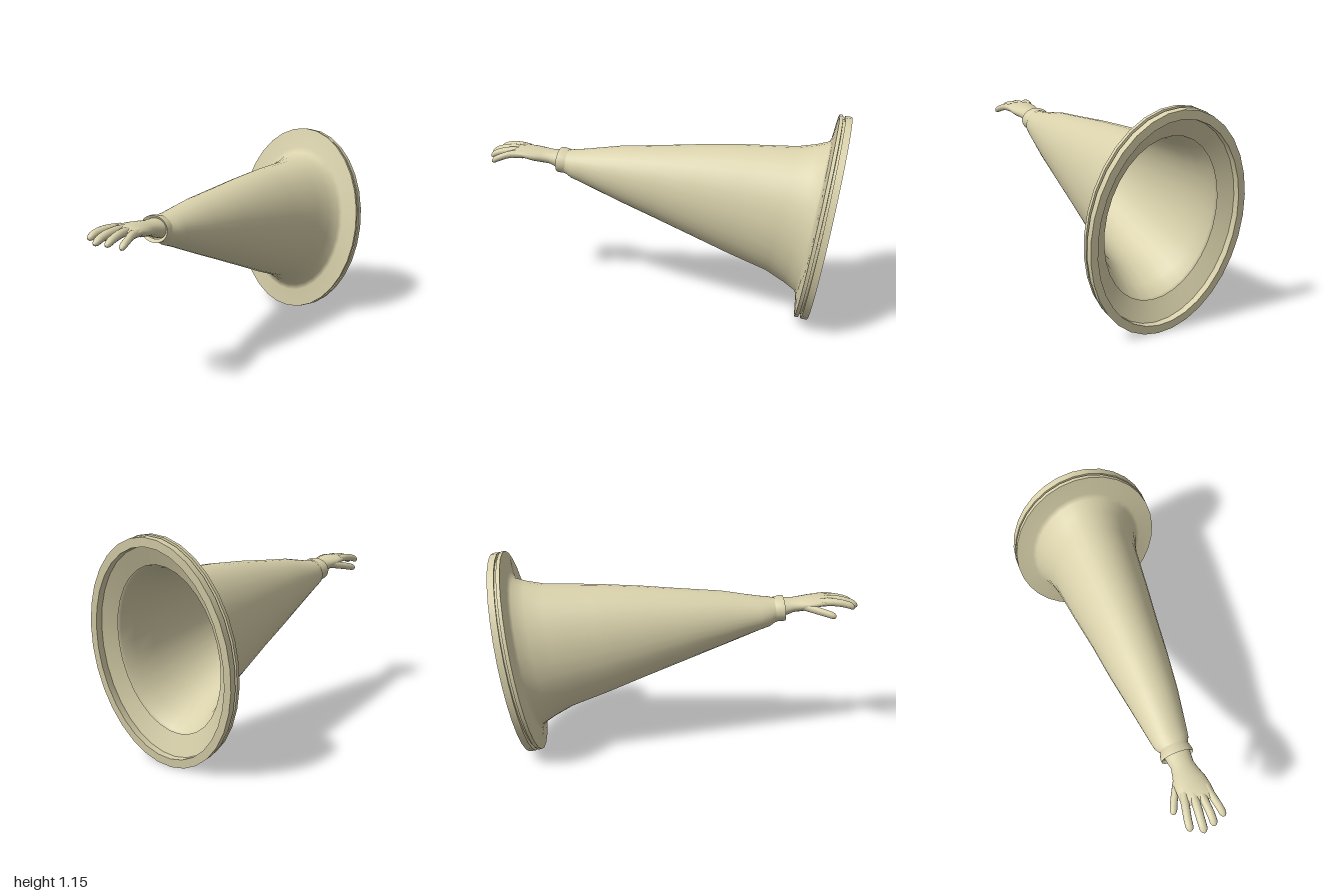
import * as THREE from 'three';
import { toCreasedNormals } from 'three/addons/utils/BufferGeometryUtils.js';

const material = new THREE.MeshStandardMaterial({ color: 0xd9d1ab, side: THREE.DoubleSide });

// Skins elliptical rings, listed from front to back.
// Ring: [top z, top y, bottom z, bottom y, min x, max x]
function loft(rings, sides) {
  const pos = [], idx = [];
  rings.forEach(([zt, yt, zb, yb, x0, x1], i) => {
    for (let j = 0; j < sides; j++) {
      const a = (j / sides) * Math.PI * 2, c = Math.cos(a), s = Math.sin(a);
      pos.push((x0 + x1) / 2 + ((x1 - x0) / 2) * c, (yt + yb) / 2 + ((yt - yb) / 2) * s, (zt + zb) / 2 + ((zt - zb) / 2) * s);
      if (i < rings.length - 1) {
        const k = (j + 1) % sides, p = i * sides, q = p + sides;
        idx.push(p + j, q + j, p + k, p + k, q + j, q + k);
      }
    }
  });
  const g = new THREE.BufferGeometry();
  g.setAttribute('position', new THREE.Float32BufferAttribute(pos, 3));
  g.setIndex(idx);
  g.computeVertexNormals();
  return g;
}

// Finger with a rounded tip; points run from tip to base
function fingerGeometry(points, radius) {
  const curve = new THREE.CatmullRomCurve3(points.map((p) => new THREE.Vector3(...p)));
  const rings = [0, 0.02, 0.06, 0.12, 0.2, 0.35, 0.5, 0.65, 0.8, 1].map((t) => {
    const p = curve.getPointAt(t);
    const tip = t < 0.15 ? Math.sqrt(1 - (1 - t / 0.15) ** 2) : 1;
    const r = radius * tip * (0.9 + 0.15 * t);
    return [p.z, p.y + r, p.z, p.y - r, p.x - r, p.x + r];
  });
  return loft(rings, 12);
}

export function createModel() {
  const model = new THREE.Group();
  const add = (name, geometry, parent = model) => {
    const mesh = new THREE.Mesh(geometry, material);
    mesh.name = name;
    parent.add(mesh);
  };

  // Tapered sleeve flaring into the front face of the flange
  add('sleeve', loft([
    [0.56, 0.875, 0.575, 0.755, -0.062, 0.085],
    [0.53, 0.876, 0.54, 0.738, -0.065, 0.09],
    [0.5, 0.882, 0.51, 0.718, -0.083, 0.105],
    [0.45, 0.886, 0.46, 0.7, -0.092, 0.115],
    [0.24, 0.918, 0.24, 0.607, -0.125, 0.152],
    [0.0, 0.936, 0.04, 0.525, -0.16, 0.18],
    [-0.2, 0.953, -0.2, 0.425, -0.187, 0.203],
    [-0.45, 0.967, -0.4, 0.341, -0.222, 0.23],
    [-0.73, 0.973, -0.6, 0.264, -0.255, 0.255],
    [-0.83, 0.99, -0.7, 0.205, -0.28, 0.28],
    [-0.895, 1.008, -0.765, 0.16, -0.308, 0.308],
    [-0.91, 1.04, -0.772, 0.125, -0.33, 0.33],
    [-0.935, 1.155, -0.772, 0.012, -0.42, 0.42],
  ], 32));

  // Grooved rim with an open, funnel-shaped back
  add('flangeRim', toCreasedNormals(loft([
    [-0.935, 1.155, -0.772, 0.012, -0.42, 0.42],
    [-0.953, 1.153, -0.792, 0.01, -0.42, 0.42],
    [-0.953, 1.128, -0.794, 0.032, -0.403, 0.403],
    [-0.965, 1.128, -0.808, 0.032, -0.403, 0.403],
    [-0.965, 1.148, -0.806, 0.004, -0.42, 0.42],
    [-1.0, 1.144, -0.842, 0, -0.42, 0.42],
    [-0.995, 1.1, -0.848, 0.045, -0.383, 0.383],
    [-0.96, 1.1, -0.81, 0.045, -0.383, 0.383],
    [-0.915, 1.01, -0.78, 0.155, -0.31, 0.31],
  ], 32), 0.6));

  // Narrow cuff band around the wrist
  add('cuff', toCreasedNormals(loft([
    [0.572, 0.87, 0.585, 0.768, -0.058, 0.082],
    [0.582, 0.888, 0.595, 0.75, -0.076, 0.097],
    [0.568, 0.889, 0.58, 0.748, -0.077, 0.098],
    [0.53, 0.88, 0.545, 0.745, -0.066, 0.09],
  ], 32), 0.6));

  // Hand: wrist and palm, then the digits
  const hand = new THREE.Group();
  hand.name = 'hand';
  model.add(hand);
  add('palm', loft([
    [0.855, 0.862, 0.855, 0.862, 0.025, 0.03],
    [0.85, 0.876, 0.85, 0.846, -0.05, 0.1],
    [0.82, 0.887, 0.82, 0.837, -0.066, 0.113],
    [0.78, 0.888, 0.78, 0.83, -0.067, 0.11],
    [0.73, 0.886, 0.73, 0.812, -0.067, 0.102],
    [0.68, 0.881, 0.68, 0.803, -0.054, 0.085],
    [0.64, 0.876, 0.64, 0.797, -0.046, 0.076],
    [0.6, 0.875, 0.6, 0.78, -0.052, 0.08],
    [0.55, 0.874, 0.55, 0.765, -0.06, 0.085],
  ], 20), hand);
  const digits = {
    thumb: [[[-0.112, 0.806, 0.86], [-0.1, 0.816, 0.82], [-0.07, 0.828, 0.76], [-0.03, 0.84, 0.69]], 0.022],
    indexFinger: [[[-0.067, 0.842, 0.97], [-0.064, 0.86, 0.92], [-0.05, 0.868, 0.85], [-0.035, 0.862, 0.78]], 0.022],
    middleFinger: [[[-0.004, 0.832, 1.0], [-0.002, 0.856, 0.94], [0.004, 0.868, 0.86], [0.008, 0.862, 0.78]], 0.023],
    ringFinger: [[[0.056, 0.831, 0.985], [0.056, 0.854, 0.93], [0.05, 0.866, 0.86], [0.045, 0.86, 0.78]], 0.022],
    littleFinger: [[[0.119, 0.82, 0.955], [0.113, 0.84, 0.91], [0.097, 0.858, 0.85], [0.083, 0.857, 0.78]], 0.021],
  };
  for (const [name, [points, radius]] of Object.entries(digits)) add(name, fingerGeometry(points, radius), hand);

  return model;
}
